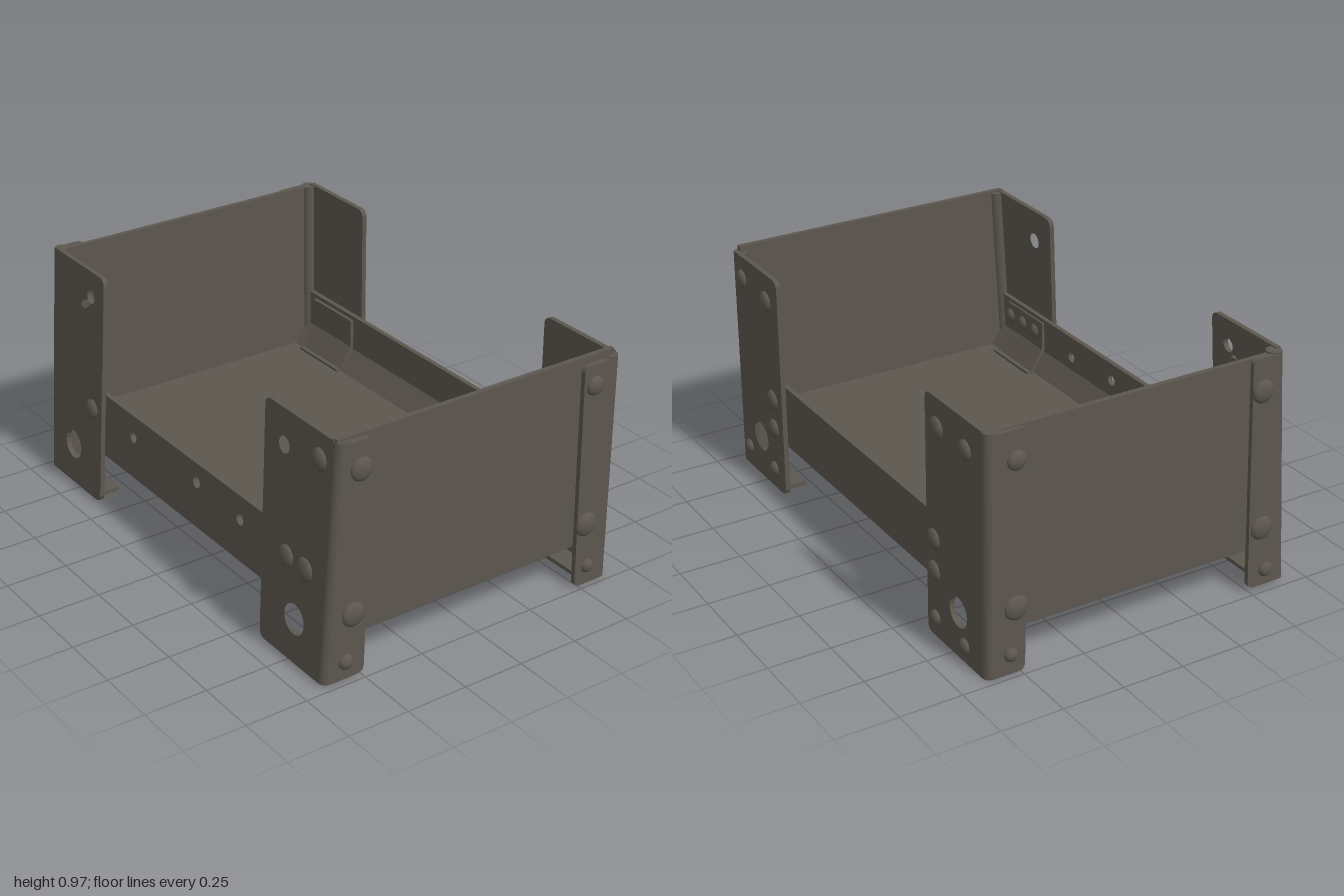
import * as THREE from 'three';

const T = 0.02;      // sheet thickness
const LEAN = 0.068;  // backward lean of the front sheet metal

export function createModel() {
  const model = new THREE.Group();
  const steel = new THREE.MeshStandardMaterial({ color: 0x5c564e });
  steel.name = 'dark steel';

  function add(name, geo, lean = 0) {
    if (lean) geo.applyMatrix4(new THREE.Matrix4().set(1, 0, 0, 0, 0, 1, 0, 0, 0, -lean, 1, 0, 0, 0, 0, 1));
    const mesh = new THREE.Mesh(geo, steel);
    mesh.name = name;
    model.add(mesh);
    return mesh;
  }

  // Plate outline between a (bent edge) and b (free edge, rounded corners)
  function plate(a, b, bTop, y0, y1, r = 0.035, holes = []) {
    const d = Math.sign(b - a);
    const s = new THREE.Shape();
    s.moveTo(a, y0);
    s.lineTo(b - d * r, y0);
    s.quadraticCurveTo(b, y0, b, y0 + r);
    s.lineTo(bTop, y1 - r);
    s.quadraticCurveTo(bTop, y1, bTop - d * r, y1);
    s.lineTo(a, y1);
    s.closePath();
    for (const [x, y, rad] of holes) {
      s.holes.push(new THREE.Path().absarc(x, y, rad, 0, Math.PI * 2, true));
    }
    return s;
  }

  const extrude = (shape, depth) =>
    new THREE.ExtrudeGeometry(shape, { depth, bevelEnabled: false, curveSegments: 10 });

  // Shape drawn in (z, y), extruded along x from x0 to x0 + depth
  const extrudeX = (shape, x0, depth) =>
    extrude(shape, depth).rotateY(-Math.PI / 2).translate(x0 + depth, 0, 0);

  // Domed rivet, flattened along one axis
  function rivet(name, axis, x, y, z, r, lean = 0) {
    const s = [r, r, r];
    s[axis] = 0.02;
    add(name, new THREE.SphereGeometry(1, 16, 10).scale(...s).translate(x, y, z), lean);
  }

  // Corner posts: a face plate, a side flange, a rounded bend and a folded foot
  const posts = [
    { n: 'frontLeft', sx: 1, sz: 1, y0: 0.01, y1: 0.95, xb: 0.58, xt: 0.545, holes: [[0.67, 0.815, 0.032]],
      rivets: [[0.875, 0.85, 0.042], [0.717, 0.405, 0.043], [0.83, 0.405, 0.046]] },
    { n: 'frontRight', sx: -1, sz: 1, y0: 0.015, y1: 0.972, xb: 0.57, xt: 0.565, holes: [[0.662, 0.868, 0.028]],
      rivets: [[0.64, 0.4, 0.04]] },
    { n: 'backLeft', sx: 1, sz: -1, y0: 0.003, y1: 0.935, xb: 0.58, xt: 0.58, holes: [],
      rivets: [[0.89, 0.84, 0.038], [0.68, 0.82, 0.042], [0.66, 0.4, 0.042], [0.66, 0.275, 0.04], [0.67, 0.09, 0.03], [0.9, 0.09, 0.03]] },
    { n: 'backRight', sx: -1, sz: -1, y0: 0.0, y1: 0.965, xb: 0.57, xt: 0.57, holes: [],
      rivets: [[0.65, 0.85, 0.042], [0.84, 0.85, 0.038], [0.62, 0.4, 0.04], [0.62, 0.27, 0.04], [0.63, 0.08, 0.03], [0.83, 0.07, 0.03]] },
  ];
  const R = 0.03;
  for (const { n, sx, sz, y0, y1, xb, xt, holes, rivets } of posts) {
    const front = sz > 0;
    const lean = front ? LEAN : 0;
    const X = sx > 0 ? 0.98 : 0.975, Z = front ? 0.667 : 0.64;
    const faceHoles = [[0.785, 0.183, 0.06], ...holes].map(([x, y, r]) => [sx * x, y, r]);
    const face = plate(sx * (X - R), sx * xb, sx * xt, y0, y1, 0.035, faceHoles);
    add(n + 'PostFace', extrude(face, T).translate(0, 0, front ? Z - T : -Z), lean);

    const flange = plate(sz * (Z - R), sz * (front ? 0.495 : 0.482), sz * (front ? 0.525 : 0.47), y0, y1 - 0.01, 0.03);
    add(n + 'PostFlange', extrudeX(flange, sx > 0 ? X - T : -X, T), lean);

    const h = y1 - y0 - 0.005;
    add(n + 'PostBend', new THREE.CylinderGeometry(R, R, h, 16)
      .translate(sx * (X - R), y0 + h / 2, sz * (Z - R)), lean);

    const footW = X - xb - 0.05;
    add(n + 'Foot', new THREE.BoxGeometry(footW, 0.016, 0.1)
      .translate(sx * (X - 0.01 - footW / 2), y0 + 0.01, sz * (Z - 0.06)), lean);

    for (const [x, y, r] of rivets) rivet(n + 'FaceRivet', 2, sx * x, y, sz * Z, r, lean);
    const side = front
      ? [[0.51, 0.83, 0.046], [0.54, 0.265, 0.048], [0.57, 0.08, 0.03]]
      : [[-0.52, 0.84, 0.038], [-0.52, 0.265, 0.048], [-0.54, 0.08, 0.028]];
    for (const [z, y, r] of side) rivet(n + 'SideRivet', 0, sx * X, y, z, r);

    // Inner corner bracket running from the wall down onto the floor
    const w = front ? 0.602 : 0.6;
    const profile = [[w, 0.465], [w, 0.34], [0.54, 0.246], [0.515, 0.246], [0.515, 0.256],
      [0.533, 0.256], [w - 0.014, 0.345], [w - 0.014, 0.465]];
    const outline = profile.map(([z, y]) => new THREE.Vector2(sz * z, y));
    add(n + 'InnerBracket', extrudeX(new THREE.Shape(outline), sx > 0 ? 0.6 : -0.87, 0.27));
    if (front) {
      for (const x of [0.66, 0.755, 0.85]) rivet(n + 'BracketRivet', 2, sx * x, 0.41, w - 0.01, 0.03);
    }
  }

  // Small loose pin on one front post
  const pin = add('bentPin', new THREE.CylinderGeometry(0.016, 0.016, 0.06, 12));
  pin.position.set(-0.69, 0.83, 0.605);
  pin.rotation.set(1.2, 0, -0.6);

  // Low front wall with three small holes, and plain back wall
  const wall = (holes) => plate(-0.95, 0.95, 0.95, 0.222, 0.482, 0.005, holes);
  const wallHoles = [[-0.355, 0.392, 0.022], [0.1, 0.405, 0.024], [0.395, 0.388, 0.022]];
  add('frontWall', extrude(wall(wallHoles), T).translate(0, 0, 0.628), LEAN);
  add('backWall', extrude(wall([]), T).translate(0, 0, -0.62));
  rivet('wallRivet', 2, -0.06, 0.39, 0.597, 0.035);

  // Floor with sloped edges rising to the walls
  const floor = new THREE.Shape([
    [0.63, 0.224], [0.61, 0.335], [0.55, 0.246],
    [-0.535, 0.246], [-0.603, 0.335], [-0.618, 0.224],
  ].map(([z, y]) => new THREE.Vector2(z, y)));
  add('floor', extrudeX(floor, -0.945, 1.89));

  // Tall side panels
  for (const [name, sx, top] of [['leftPanel', 1, 0.955], ['rightPanel', -1, 0.96]]) {
    const panel = new THREE.Shape([
      [0.64, 0.173], [0.598, top], [-0.62, top], [-0.62, 0.173],
    ].map(([z, y]) => new THREE.Vector2(z, y)));
    add(name, extrudeX(panel, sx > 0 ? 0.94 : -0.957, 0.02));
  }

  return model;
}
